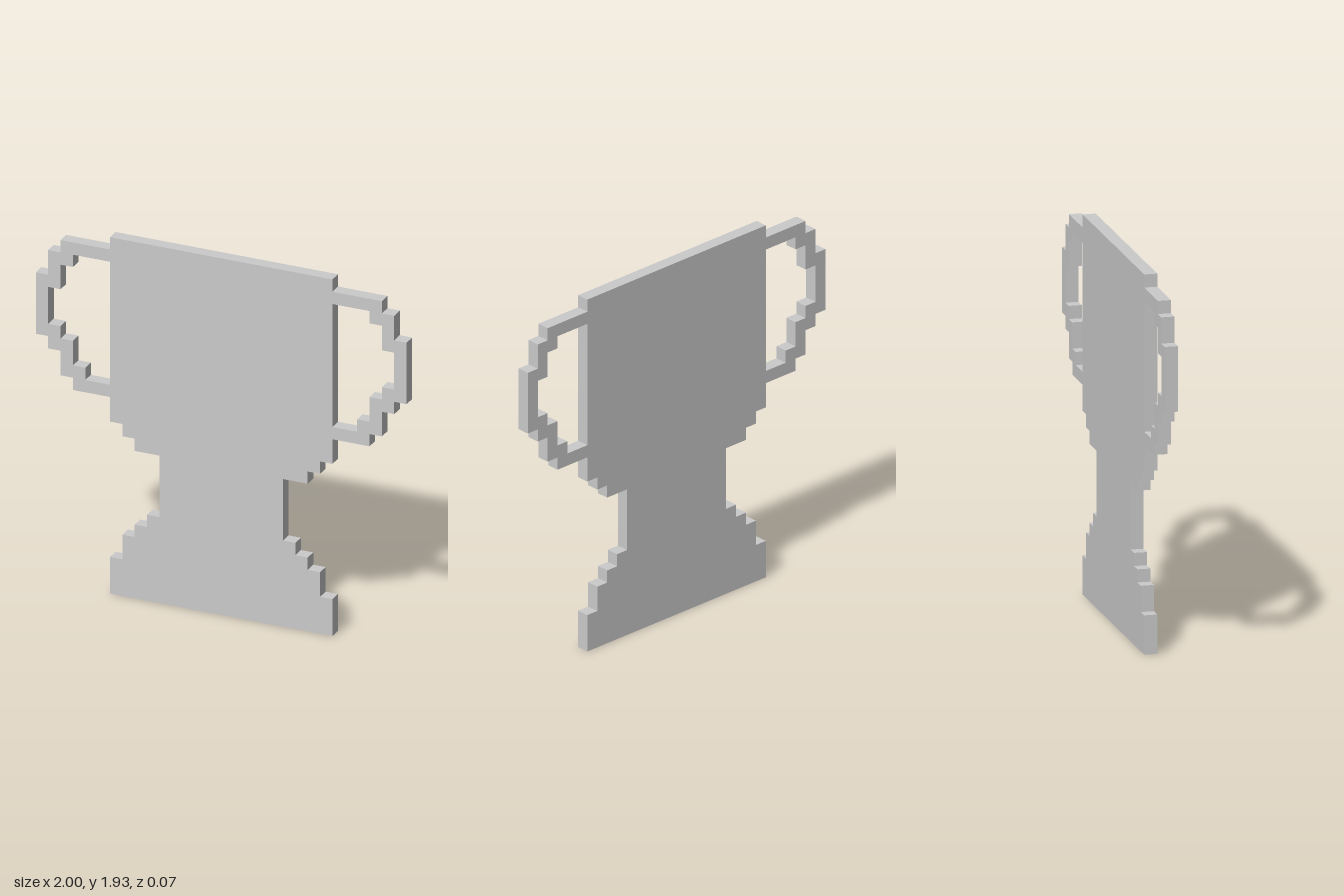
import * as THREE from 'three';

const U = 1 / 15; // size of one square cell
const material = new THREE.MeshStandardMaterial({ color: 0xcccccc, flatShading: true });

// Extrude an outline given in cells to a plate one cell thick, centred on z = 0
function plate(name, cells) {
  const shape = new THREE.Shape(cells.map(([x, y]) => new THREE.Vector2(x * U, y * U)));
  const geometry = new THREE.ExtrudeGeometry(shape, { depth: U, bevelEnabled: false });
  geometry.translate(0, 0, -U / 2);
  const mesh = new THREE.Mesh(geometry, material);
  mesh.name = name;
  return mesh;
}

const mirror = (cells) => cells.map(([x, y]) => [-x, y]);

export function createModel() {
  const group = new THREE.Group();
  group.name = 'trophy';

  // Base, stem and cup: half width and the height each step reaches
  const steps = [[9, 3], [8, 5], [7, 6], [6, 7], [5, 12], [7, 13], [8, 14], [9, 29]];
  const side = [];
  let bottom = 0;
  for (const [halfWidth, top] of steps) {
    side.push([halfWidth, bottom], [halfWidth, top]);
    bottom = top;
  }
  group.add(plate('cupBody', [...side, ...mirror(side).reverse()]));

  // Stepped handle: outer edge going down, inner edge going back up
  const handle = [
    [9, 28], [13, 28], [13, 27], [14, 27], [14, 25], [15, 25], [15, 20], [14, 20],
    [14, 19], [13, 19], [13, 17], [12, 17], [12, 16], [9, 16],
    [9, 17], [11, 17], [11, 18], [12, 18], [12, 20], [13, 20], [13, 21], [14, 21],
    [14, 24], [13, 24], [13, 26], [12, 26], [12, 27], [9, 27],
  ];
  group.add(plate('leftHandle', handle), plate('rightHandle', mirror(handle)));

  return group;
}
